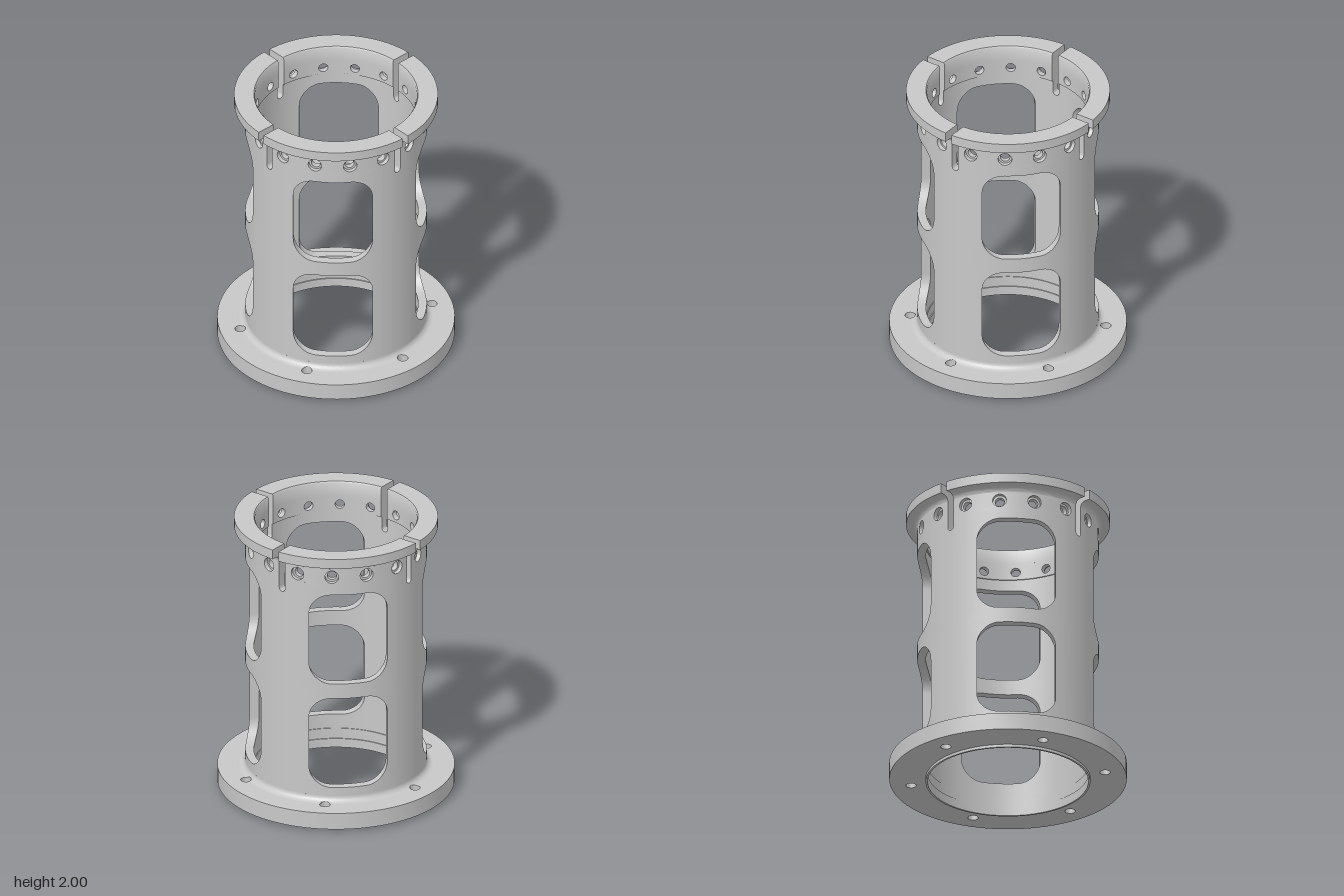
import * as THREE from 'three';
import { mergeGeometries, toCreasedNormals } from 'three/addons/utils/BufferGeometryUtils.js';

const DEG = Math.PI / 180;
const TURN = -3 * DEG;                    // whole pattern is turned slightly about y
const RO = 0.619, RI = 0.56, RTOP = 0.552; // wall radii
const BAND = 1.775, NECK = 1.89, FLOOR = 0.14;
const SLOT = 0.025;                       // half width of the slots
const BOLT_R = 0.67, BOLT = 0.036;
const slotAngle = (R) => Math.asin(SLOT / R);

// angle, height, radius -> position (angle 0 faces +z)
const polar = (a, y, R) => [R * Math.sin(a), y, R * Math.cos(a)];

// Skins a list of closed loops that all have the same number of points
function skin(loops) {
  const pos = [];
  const v = new THREE.Vector3(), w = new THREE.Vector3();
  const tri = (a, b, c) => {
    v.set(b[0] - a[0], b[1] - a[1], b[2] - a[2]);
    w.set(c[0] - a[0], c[1] - a[1], c[2] - a[2]);
    if (v.cross(w).length() > 1e-9) pos.push(...a, ...b, ...c);
  };
  for (let i = 0; i + 1 < loops.length; i++) {
    const A = loops[i], B = loops[i + 1], n = A.length;
    for (let j = 0; j < n; j++) {
      const k = (j + 1) % n;
      tri(A[j], A[k], B[k]);
      tri(A[j], B[k], B[j]);
    }
  }
  const g = new THREE.BufferGeometry();
  g.setAttribute('position', new THREE.Float32BufferAttribute(pos, 3));
  return g;
}

// Curved wall block with one straight-cut opening.
// lo, hi: side angles by radius; cuts: list of [radius, half straight width, half straight height, corner radius]
function cell(center, lo, hi, y0, y1, cy, cuts, K) {
  const sides = [];
  for (let q = 0; q < 4; q++) for (let i = 0; i < K; i++) sides.push([q, -1 + (2 * i) / K]);
  const spin = (q, x, y) => [[x, y], [-y, x], [-x, -y], [y, -x]][q];
  const rect = (R) => sides.map(([q, s]) => {
    const [x, y] = spin(q, s, -1);
    return [lo(R) + (hi(R) - lo(R)) * (x + 1) / 2, y0 + (y1 - y0) * (y + 1) / 2];
  });
  const hole = ([R, a, b, r]) => sides.map(([q, s]) => {
    const m = a > 0 ? 0.4 : 0, along = m ? Math.min(1, Math.abs(s) / m) : 0;
    const t = Math.max(0, (Math.abs(s) - m) / (1 - m)) * Math.PI / 4 * Math.sign(s);
    const [dx, dy] = spin(q, Math.sin(t), -Math.cos(t));
    const [ex, ey] = spin(q, along * Math.sign(s), -1);
    return [center + Math.asin((ex * a + dx * r) / R), cy + ey * b + dy * r];
  });
  const at = (pts, R) => pts.map(([a, y]) => polar(a, y, R));
  const mix = (P, Q, t) => P.map((p, i) => [p[0] + (Q[i][0] - p[0]) * t, p[1] + (Q[i][1] - p[1]) * t]);
  const first = cuts[0], last = cuts[cuts.length - 1];
  const loops = [];
  for (const t of [0, 0.33, 0.67]) loops.push(at(mix(rect(first[0]), hole(first), t), first[0]));
  for (const c of cuts) loops.push(at(hole(c), c[0]));
  for (const t of [0.33, 0.67, 1]) loops.push(at(mix(hole(last), rect(last[0]), t), last[0]));
  loops.push(loops[0]);
  return skin(loops);
}

// Upright between windows, with the rounded end of a slot in its top
function upright(center) {
  const cols = [];
  for (let d = -13; d <= -3; d += 1) cols.push([() => d * DEG, BAND]);
  cols.push([(R) => -slotAngle(R), BAND]);
  for (let i = 0; i <= 12; i++) {
    const t = Math.PI * i / 12, u = -SLOT * Math.cos(t);
    cols.push([(R) => Math.asin(u / R), 1.693 - SLOT * Math.sin(t)]);
  }
  cols.push([(R) => slotAngle(R), BAND]);
  for (let d = 3; d <= 13; d += 1) cols.push([() => d * DEG, BAND]);
  return skin(cols.map(([a, top]) => [[RO, top], [RO, FLOOR], [RI, FLOOR], [RI, top]]
    .map(([R, y]) => polar(center + a(R), y, R))));
}

// Quarter of the top flange, with a small inner chamfer and the fillet under it
function flangeQuarter(start) {
  const profile = [[RTOP + 0.008, 2], [0.695, 2], [0.695, 1.93]];
  for (let i = 0; i <= 6; i++) {
    const t = Math.PI / 2 * (1 + i / 6);
    profile.push([RO + 0.04 + 0.04 * Math.cos(t), NECK + 0.04 * Math.sin(t)]);
  }
  profile.push([RTOP, NECK], [RTOP, 1.988]);
  const loops = [];
  for (let i = 0; i <= 24; i++) {
    loops.push(profile.map(([R, y]) => {
      const s = slotAngle(R);
      return polar(start + s + (Math.PI / 2 - 2 * s) * i / 24, y, R);
    }));
  }
  const apex = (loop) => loop.map(() => loop[0]);
  return skin([apex(loops[0]), ...loops, apex(loops[24])]);
}

// Fillet above the bottom flange, cut back where the bolt holes run into it
function baseFillet() {
  const loops = [];
  for (let i = 0; i <= 360; i++) {
    const a = i * DEG, step = 60 * DEG;
    const off = (a - TURN) - Math.round((a - TURN) / step) * step;
    const side = BOLT_R * Math.sin(off);
    const limit = Math.abs(side) < BOLT
      ? BOLT_R * Math.cos(off) - Math.sqrt(BOLT * BOLT - side * side) : 1;
    const loop = [];
    for (let j = 0; j <= 8; j++) {
      const t = Math.PI * (1 + j / 16);
      const R = RO + 0.042 + 0.042 * Math.cos(t), y = FLOOR + 0.042 + 0.042 * Math.sin(t);
      loop.push(polar(a, y, Math.min(R, limit)));
    }
    // closed off inside the wall
    loop.push(polar(a, FLOOR, 0.6), polar(a, FLOOR + 0.042, 0.6));
    loops.push(loop);
  }
  return skin(loops);
}

// Bottom flange with six bolt holes
function baseFlange() {
  const shape = new THREE.Shape().absarc(0, 0, 0.81, 0, Math.PI * 2);
  shape.holes.push(new THREE.Path().absarc(0, 0, 0.555, 0, Math.PI * 2, true));
  for (let i = 0; i < 6; i++) {
    const a = TURN + i * 60 * DEG;
    shape.holes.push(new THREE.Path().absarc(
      BOLT_R * Math.sin(a), -BOLT_R * Math.cos(a), BOLT, 0, Math.PI * 2, true));
  }
  const g = new THREE.ExtrudeGeometry(shape, { depth: 0.12, bevelEnabled: false, curveSegments: 40 });
  return g.rotateX(-Math.PI / 2).translate(0, 0.02, 0);
}

export function createModel() {
  const model = new THREE.Group();
  const metal = new THREE.MeshStandardMaterial({ color: 0xc8c8c8 });
  metal.name = 'grey metal';
  const add = (name, geometry) => {
    const flat = geometry.index ? geometry.toNonIndexed() : geometry;
    const mesh = new THREE.Mesh(toCreasedNormals(flat, 35 * DEG), metal);
    mesh.name = name;
    model.add(mesh);
  };

  // Tube wall: uprights and two rows of windows
  const wall = [], quarters = [];
  for (let k = 0; k < 4; k++) {
    const a = TURN + k * 90 * DEG, c = a + 45 * DEG;
    wall.push(upright(a));
    const lo = () => c - 32 * DEG, hi = () => c + 32 * DEG;
    const cuts = [[RO, 0.12, 0.185, 0.15], [RI, 0.12, 0.185, 0.15]];
    wall.push(cell(c, lo, hi, FLOOR, 0.97, 0.58, cuts, 40));
    wall.push(cell(c, lo, hi, 0.97, BAND, 1.36, cuts, 40));
    quarters.push(flangeQuarter(a));
  }
  // Band of sixteen counterbored holes, parted by the slots
  for (let k = 0; k < 16; k++) {
    const a = TURN + k * 22.5 * DEG, b = a + 22.5 * DEG;
    const lo = (R) => a + (k % 4 === 0 ? slotAngle(R) : 0);
    const hi = (R) => b - (k % 4 === 3 ? slotAngle(R) : 0);
    const cuts = [[RO, 0, 0, 0.047], [0.59, 0, 0, 0.047], [0.59, 0, 0, 0.032], [RTOP, 0, 0, 0.032]];
    wall.push(cell((a + b) / 2, lo, hi, BAND, NECK, 1.83, cuts, 14));
  }
  add('tubeWall', mergeGeometries(wall));
  add('topFlange', mergeGeometries(quarters));
  add('bottomFlange', baseFlange());
  add('baseFillet', baseFillet());

  // Locating lip inside and below the bottom flange
  const lip = [[0.562, 0], [0.562, 0.065], [0.548, 0.065], [0.548, 0], [0.562, 0]]
    .map(([r, y]) => new THREE.Vector2(r, y));
  add('bottomLip', new THREE.LatheGeometry(lip, 96));
  return model;
}
